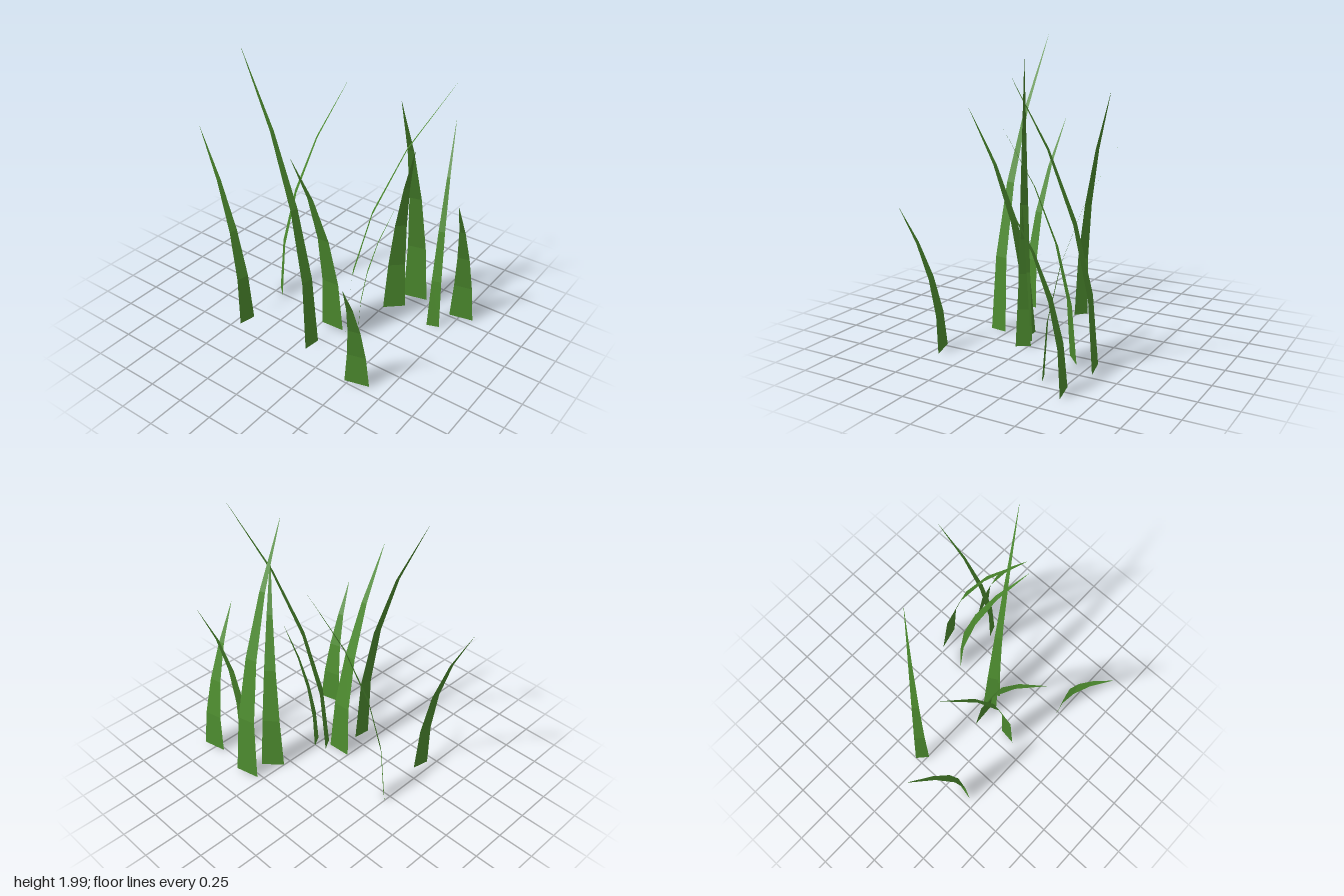
import * as THREE from 'three';

const SEGMENTS = 4;

// One blade per row: base x, base z, tip x, tip z, height, base width
const BLADES = [
  [-0.44, 0.39, -0.845, 0.305, 1.37, 0.12],
  [0.09, 0.33, -0.485, 0.255, 1.99, 0.12],
  [0.085, 0.085, 0.11, 0.535, 1.53, 0.17],
  [0.557, 0.463, 0.628, 0.73, 0.93, 0.17],
  [-0.465, -0.025, -0.135, -0.39, 1.65, 0.10],
  [0.187, 0.065, 0.74, -0.27, 1.90, 0.10],
  [0.265, 0.03, 0.45, -0.08, 1.00, 0.10],
  [0.375, -0.547, 0.50, -0.03, 1.79, 0.175],
  [0.31, -0.362, 0.605, -0.04, 1.49, 0.16],
  [0.65, -0.335, 0.505, -0.73, 1.41, 0.088],
  [0.763, -0.535, 0.835, -0.22, 1.09, 0.17],
];

// Flat strip that tapers to a point and bends towards its tip
function bladeGeometry(bx, bz, tx, tz, height, width) {
  const dx = tx - bx, dz = tz - bz, lean = Math.hypot(dx, dz);
  const sideX = dz / lean, sideZ = -dx / lean;
  const positions = [], index = [];
  for (let i = 0; i <= SEGMENTS; i++) {
    const t = i / SEGMENTS;
    const bend = t * t;
    const half = (width / 2) * Math.max(1 - t, 0.01);
    const y = height * t * (1.04 - 0.04 * t);
    for (const s of [-1, 1]) {
      positions.push(bx + dx * bend + s * half * sideX, y, bz + dz * bend + s * half * sideZ);
    }
    if (i < SEGMENTS) {
      const a = i * 2;
      index.push(a, a + 1, a + 3, a, a + 3, a + 2);
    }
  }
  const geometry = new THREE.BufferGeometry();
  geometry.setAttribute('position', new THREE.Float32BufferAttribute(positions, 3));
  geometry.setIndex(index);
  geometry.computeVertexNormals();
  return geometry;
}

export function createModel() {
  const group = new THREE.Group();
  group.name = 'grassClump';
  const green = new THREE.MeshStandardMaterial({
    color: 0x4c8a2e, flatShading: true, side: THREE.DoubleSide,
  });
  BLADES.forEach((blade, i) => {
    const mesh = new THREE.Mesh(bladeGeometry(...blade), green);
    mesh.name = `grassBlade${i + 1}`;
    group.add(mesh);
  });
  return group;
}
